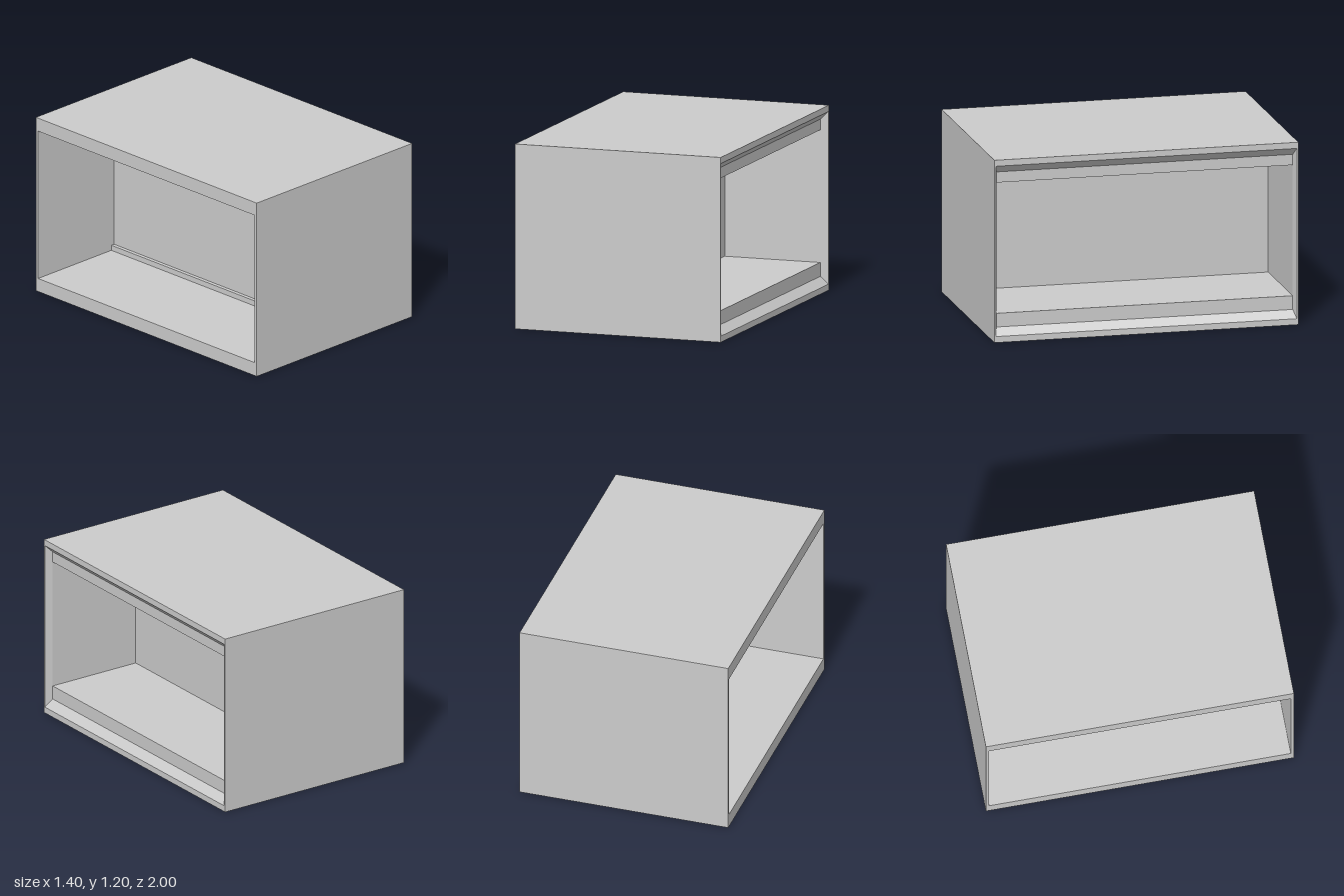
import * as THREE from 'three';

const material = new THREE.MeshStandardMaterial({ color: 0xcccccc, flatShading: true });

// Four corners of a rectangle across the x axis, counter-clockwise seen from +x
const corners = ([x, y0, y1, hz]) => [[x, y0, hz], [x, y0, -hz], [x, y1, -hz], [x, y1, hz]];

// Skin a row of rectangles [x, bottom, top, half depth], with optional end walls
function loft(name, rings, { startWall = false, endWall = false } = {}) {
  const pos = [];
  const tri = (a, b, c) => pos.push(...a, ...b, ...c);
  const loops = rings.map(corners);
  for (let i = 0; i < loops.length - 1; i++) {
    for (let j = 0; j < 4; j++) {
      const k = (j + 1) % 4;
      const [a, b, c, d] = [loops[i][j], loops[i][k], loops[i + 1][j], loops[i + 1][k]];
      tri(a, c, b);
      tri(b, c, d);
    }
  }
  if (startWall) {
    const [a, b, c, d] = loops[0];
    tri(a, b, c);
    tri(a, c, d);
  }
  if (endWall) {
    const [a, b, c, d] = loops[loops.length - 1];
    tri(a, c, b);
    tri(a, d, c);
  }
  const geometry = new THREE.BufferGeometry();
  geometry.setAttribute('position', new THREE.Float32BufferAttribute(pos, 3));
  geometry.computeVertexNormals();
  const mesh = new THREE.Mesh(geometry, material);
  mesh.name = name;
  return mesh;
}

export function createModel() {
  const group = new THREE.Group();
  group.name = 'openCabinet';

  // Bay on the +x side: divider wall, raised floor and lowered ceiling
  const bay = [0.65, 0.18, 1.04, 0.975];
  const lip = [0.65, 0.09, 1.11, 0.975];
  group.add(loft('leftBay', [[0, 0.18, 1.04, 0.975], bay, lip], { startWall: true }));

  // Bevelled rim around the +x opening
  const rim = [0.7, 0.04, 1.16, 0.99];
  group.add(loft('bevelledRim', [lip, rim]));

  // Outer casing with the flat edge frames of both openings
  const opening = [-0.7, 0.09, 1.11, 0.98];
  group.add(loft('casing', [rim, [0.7, 0, 1.2, 1], [-0.7, 0, 1.2, 1], opening]));

  // Bay on the -x side, with a small ledge along the divider
  group.add(loft('rightBay', [
    opening,
    [-0.04, 0.09, 1.11, 0.98],
    [-0.04, 0.125, 1.075, 0.98],
    [-0.015, 0.125, 1.075, 0.98],
  ], { endWall: true }));

  return group;
}
